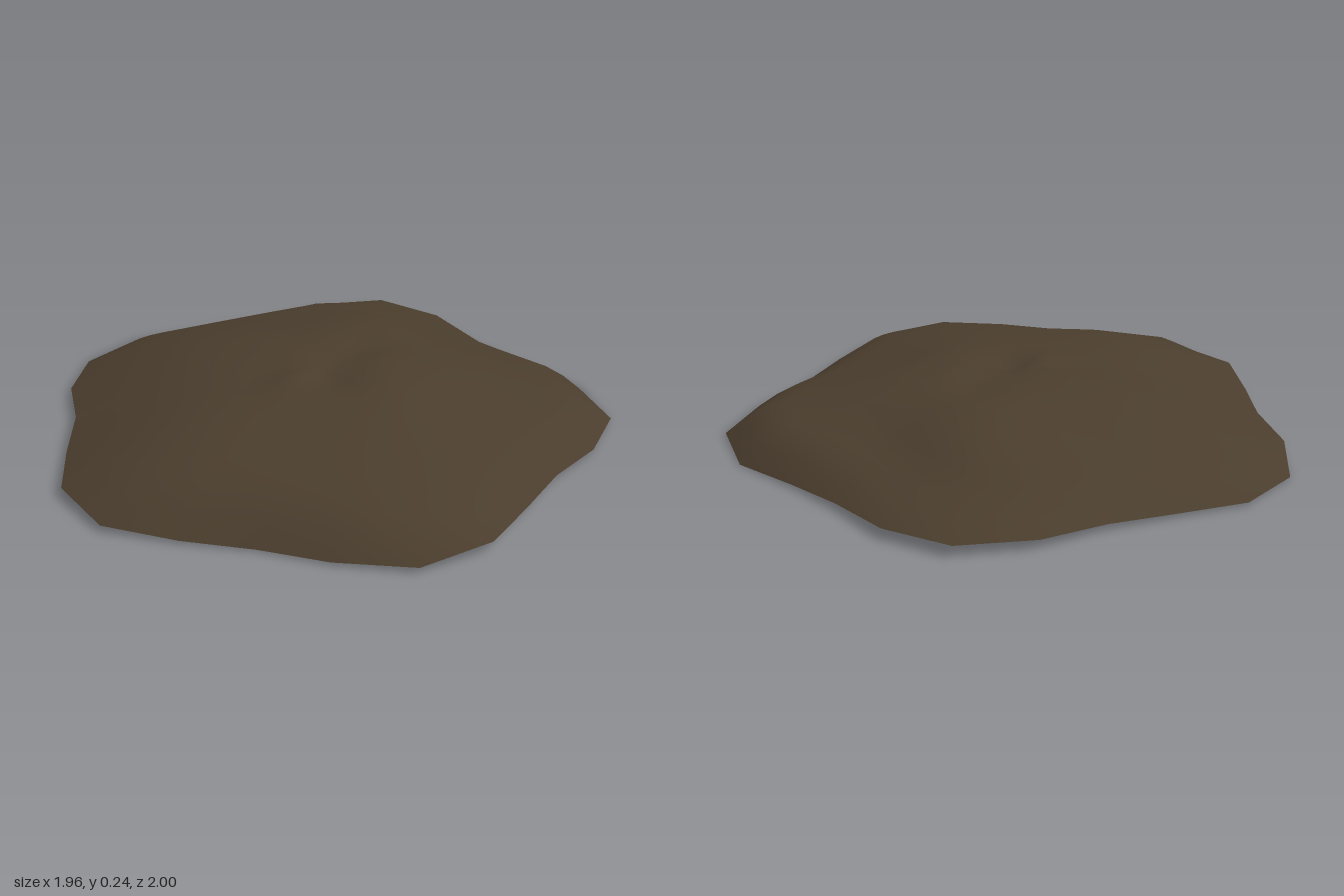
import * as THREE from 'three';

// Rim corners [x, z, y], every 15 degrees about the hub, starting at +x towards +z
const RIM = [
  [0.94, 0, 0.025], [0.94, 0.25, 0.035], [0.93, 0.51, 0.04], [0.78, 0.73, 0.02],
  [0.52, 0.82, 0.01], [0.28, 0.86, 0.005], [0.04, 0.94, 0.01], [-0.22, 1.0, 0.022],
  [-0.46, 0.88, 0.032], [-0.6, 0.66, 0.025], [-0.72, 0.44, 0.03], [-0.88, 0.25, 0.022],
  [-0.98, 0, 0.005], [-0.92, -0.26, 0.01], [-0.73, -0.46, 0.015], [-0.58, -0.63, 0.025],
  [-0.44, -0.84, 0.035], [-0.22, -1.0, 0.04], [0.04, -0.98, 0.035], [0.28, -0.86, 0.02],
  [0.5, -0.78, 0.01], [0.76, -0.7, 0], [0.95, -0.51, 0.01], [0.98, -0.25, 0.015],
];
// Slope heights in eight directions, at the fractions of the radius in STOPS
const STOPS = [0, 0.2, 0.38, 0.55, 0.72, 0.88, 1];
const SLOPES = [
  [0.235, 0.222, 0.178, 0.137, 0.098], [0.22, 0.205, 0.18, 0.15, 0.105],
  [0.215, 0.2, 0.19, 0.16, 0.105], [0.21, 0.195, 0.165, 0.12, 0.07],
  [0.235, 0.215, 0.18, 0.125, 0.065], [0.232, 0.215, 0.18, 0.14, 0.1],
  [0.235, 0.228, 0.19, 0.11, 0.075], [0.235, 0.22, 0.18, 0.138, 0.108],
];
// Small humps and hollows on the crown: x, z, radius, height
const BUMPS = [
  [-0.03, 0, 0.07, 0.012], [0.0, 0.16, 0.07, 0.018], [0.22, -0.13, 0.08, 0.012],
  [0.11, 0.04, 0.09, -0.025], [0.1, -0.22, 0.09, -0.018],
];
const HUB_X = 0.04, HUB_Y = 0.228, RINGS = 14, N = RIM.length;

function slopeHeight(i, t) {
  const d = i / 3, k = Math.floor(d), f = d - k;
  const w = f * f * (3 - 2 * f);
  const a = SLOPES[k], b = SLOPES[(k + 1) % 8];
  const ys = [HUB_Y, ...a.map((h, j) => h + (b[j] - h) * w), RIM[i][2]];
  let s = 0;
  while (s < STOPS.length - 2 && t > STOPS[s + 1]) s++;
  return THREE.MathUtils.lerp(ys[s], ys[s + 1], (t - STOPS[s]) / (STOPS[s + 1] - STOPS[s]));
}

function crownRelief(x, z) {
  return BUMPS.reduce((sum, [bx, bz, r, h]) =>
    sum + h * Math.exp(-((x - bx) ** 2 + (z - bz) ** 2) / (r * r)), 0);
}

// Open shell of concentric rings around the hub
function moundGeometry() {
  const pos = [HUB_X, HUB_Y + crownRelief(HUB_X, 0), 0], index = [];
  for (let r = 1; r <= RINGS; r++) {
    const t = r / RINGS;
    for (let i = 0; i < N; i++) {
      const x = HUB_X + (RIM[i][0] - HUB_X) * t, z = RIM[i][1] * t;
      pos.push(x, slopeHeight(i, t) + crownRelief(x, z), z);
    }
  }
  for (let i = 0; i < N; i++) {
    const j = (i + 1) % N;
    index.push(0, 1 + j, 1 + i);
    for (let r = 0; r < RINGS - 1; r++) {
      const a = 1 + r * N + i, b = 1 + r * N + j;
      index.push(a, b, a + N, b, b + N, a + N);
    }
  }
  const g = new THREE.BufferGeometry();
  g.setAttribute('position', new THREE.Float32BufferAttribute(pos, 3));
  g.setIndex(index);
  g.computeVertexNormals();
  return g;
}

export function createModel() {
  const group = new THREE.Group();
  group.name = 'dirtMound';
  const earth = new THREE.MeshStandardMaterial({ color: 0x4a3d2d, side: THREE.DoubleSide });
  earth.name = 'brown earth';
  const mound = new THREE.Mesh(moundGeometry(), earth);
  mound.name = 'mound';
  group.add(mound);
  return group;
}
